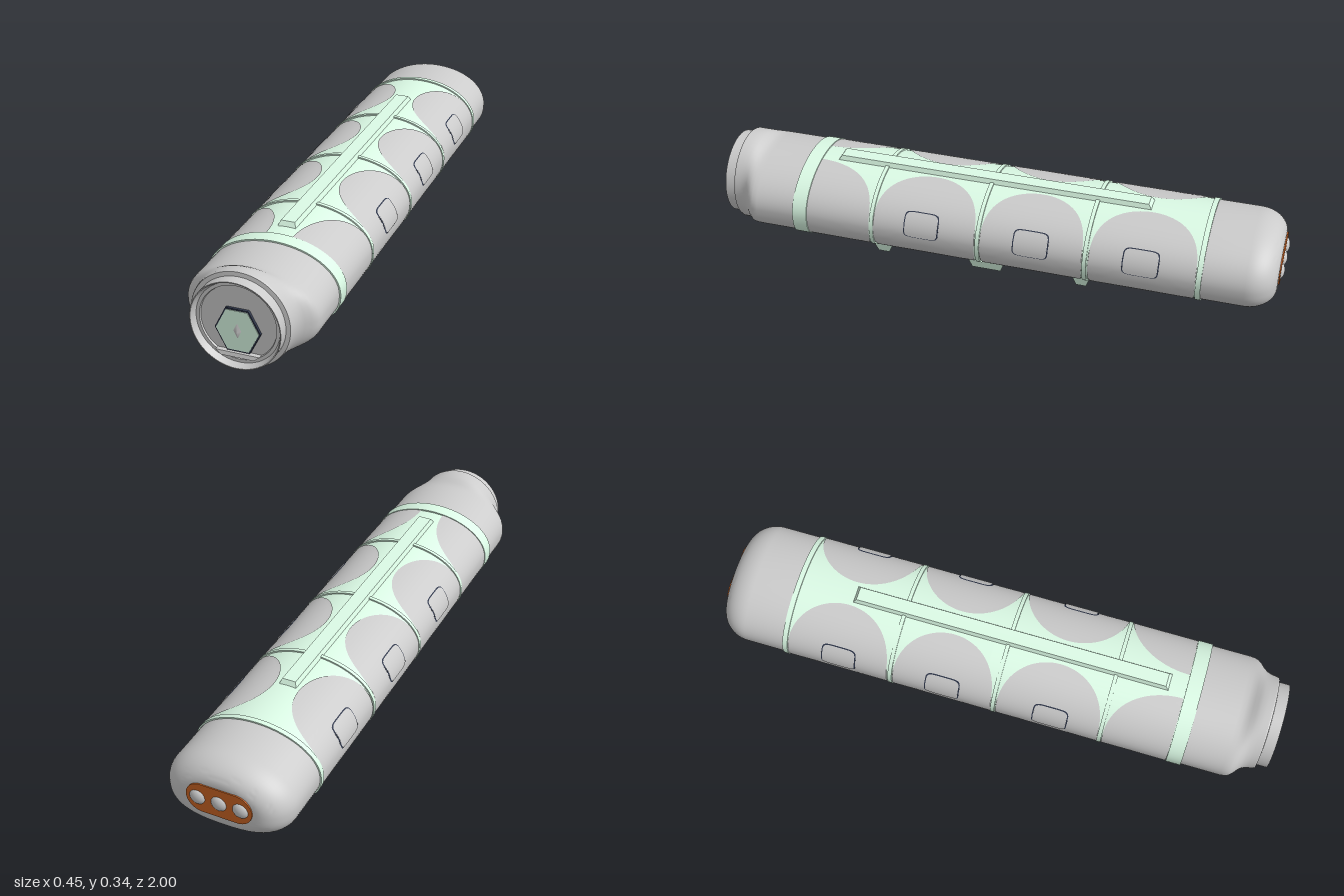
import * as THREE from 'three';
import { toCreasedNormals } from 'three/addons/utils/BufferGeometryUtils.js';

const mat = (color) => new THREE.MeshStandardMaterial({ color, side: THREE.DoubleSide });
const HALF_W = 0.22, MID_Y = 0.168, TOP = 0.142, BOTTOM = 0.118;

// Point on the oval cross-section: rounder above, flatter below
function section(t, z, offset = 0, sx = 1, sy = 1) {
  const c = Math.cos(t), s = Math.sin(t);
  const n = 2.6;
  const y = s >= 0
    ? (TOP + offset) * s
    : -(BOTTOM + offset) * Math.pow(Math.max(0, 1 - Math.pow(Math.abs(c), n)), 1 / n);
  return new THREE.Vector3((HALF_W + offset) * c * sx, MID_Y + y * sy, z);
}

// Surface sampled from fn(u, v), u running along +z and v around the body
function grid(fn, nu, nv) {
  const pos = [], index = [];
  for (let i = 0; i <= nu; i++)
    for (let j = 0; j <= nv; j++) pos.push(...fn(i / nu, j / nv).toArray());
  for (let i = 0; i < nu; i++)
    for (let j = 0; j < nv; j++) {
      const a = i * (nv + 1) + j, c = a + nv + 1;
      index.push(a, a + 1, c, a + 1, c + 1, c);
    }
  const g = new THREE.BufferGeometry();
  g.setAttribute('position', new THREE.Float32BufferAttribute(pos, 3));
  g.setIndex(index);
  g.computeVertexNormals();
  return g;
}

// Box narrowed towards one end: b = half sizes at y0, t = half sizes at y1
function frustum(y0, y1, [bx, bz], [tx, tz], shift = 0) {
  const g = new THREE.BoxGeometry(2, 1, 2);
  const p = g.attributes.position;
  for (let i = 0; i < p.count; i++) {
    const up = p.getY(i) > 0;
    p.setXYZ(i, p.getX(i) * (up ? tx : bx), up ? y1 : y0, p.getZ(i) * (up ? tz : bz) + (up ? 0 : shift));
  }
  const flat = g.toNonIndexed();
  flat.computeVertexNormals();
  return flat;
}

export function createModel() {
  const model = new THREE.Group();
  const grey = mat(0xcccccc), green = mat(0xdcfbe6), navy = mat(0x30384c), orange = mat(0xcf6624);
  const add = (name, geo, m, x = 0, y = 0, z = 0) => {
    const mesh = new THREE.Mesh(geo, m);
    mesh.name = name;
    mesh.position.set(x, y, z);
    model.add(mesh);
    return mesh;
  };
  const around = (v) => -Math.PI / 2 + v * Math.PI * 2;

  // Core tube and raised bands
  add('core', grid((u, v) => section(around(v), -0.74 + 1.45 * u), 2, 72), green);
  for (const [z, w] of [[0.685, 0.052], [0.417, 0.014], [0.032, 0.014], [-0.345, 0.014], [-0.733, 0.018]]) {
    const rows = [[-0.5, 0], [-0.5, 0.005], [0.5, 0.005], [0.5, 0]];
    add('band', toCreasedNormals(grid((u, v) => {
      const [k, o] = rows[Math.round(u * 3)];
      return section(around(v), z + k * w, o);
    }, 3, 72), 0.6), green);
  }

  // Rounded rear cap
  const R = 14;
  add('rearCap', toCreasedNormals(grid((u, v) => {
    const i = Math.round(u * (R + 2));
    if (i === 0) return new THREE.Vector3(0, 0.175, -0.985);
    const a = Math.min(1, (i - 1) / R) * Math.PI / 2;
    const z = i === R + 2 ? -0.74 : -0.885 - 0.1 * Math.cos(a);
    const k = 1 - Math.sin(a);
    return section(around(v), z, 0, 1 - 0.42 * k, 1 - 0.5 * k);
  }, R + 2, 72), 0.6), grey);

  // Front shoulder blending from the oval into a round collar
  const neck = [[0.71, 0], [0.85, 0], [0.868, 0.04], [0.88, 0.13], [0.892, 0.33], [0.905, 0.62],
    [0.918, 0.82], [0.935, 0.94], [0.955, 1]];
  add('frontShoulder', grid((u, v) => {
    const [z, w] = neck[Math.round(u * (neck.length - 1))];
    const t = around(v);
    const circle = new THREE.Vector3(0.165 * Math.cos(t), 0.173 + 0.165 * Math.sin(t), z);
    return section(t, z).lerp(circle, w);
  }, neck.length - 1, 72), grey);

  // Round rim with a recessed face
  const rim = [[0.165, 0.953], [0.163, 0.96], [0.149, 0.962], [0.149, 1], [0.146, 1], [0.137, 0.978],
    [0.126, 0.978], [0.124, 0.972], [0, 0.972]].map(([r, z]) => new THREE.Vector2(r, z));
  add('frontRim', toCreasedNormals(new THREE.LatheGeometry(rim, 64).rotateX(Math.PI / 2), 0.4), grey, 0, 0.173, 0);

  // Hexagonal window, its frame, centre stud and the ledge below
  const hex = (r, depth) => new THREE.CylinderGeometry(r, r, depth, 6).toNonIndexed()
    .rotateX(Math.PI / 2).rotateZ(Math.PI / 2).scale(1, 1.13, 1);
  add('windowFrame', hex(0.075, 0.012), navy, 0, 0.148, 0.975);
  add('window', hex(0.07, 0.012), green, 0, 0.148, 0.977);
  const stud = new THREE.ConeGeometry(0.013, 0.006, 4).rotateX(Math.PI / 2).scale(1, 2, 1);
  add('windowStud', stud, grey, 0, 0.148, 0.986);
  const ledge = frustum(0.06, 0.073, [0.055, 0.012], [0.072, 0.008]);
  add('ledge', ledge, grey, 0, 0, 0.98);

  // Scalloped grip pads: [arch centre, half length, start, end] along z
  const pads = [[0.655, 0.23, 0.426, 0.658], [0.226, 0.184, 0.042, 0.41],
    [-0.156, 0.18, -0.336, 0.024], [-0.54, 0.183, -0.723, -0.357]];
  for (const s of [1, -1]) {
    for (const [c, h, z0, z1] of pads) {
      const pad = grid((u, v) => {
        // samples bunch up towards the rounded ends
        const z = z0 + (z1 - z0) * (0.5 - 0.5 * Math.cos(u * Math.PI));
        const q = Math.min(1, Math.abs(z - c) / h);
        const arch = Math.sqrt(1 - q * q);
        const upper = Math.acos(1 - 0.8 * arch);
        const lower = -Math.acos(0.5 + 0.5 * Math.pow(q, 8));
        const p = section(lower + (upper - lower) * (s > 0 ? v : 1 - v), z, 0.003);
        p.x *= s;
        return p;
      }, 40, 24);
      add('gripPad', pad, grey);
    }

    // Rounded side buttons with a dark outline
    for (const z of [0.235, -0.155, -0.535]) {
      for (const [name, hz, ht, o, m] of [['buttonOutline', 0.063, 0.305, 0.0042, navy], ['button', 0.059, 0.285, 0.006, grey]]) {
        const patch = grid((u, v) => {
          const k = -Math.cos(u * Math.PI);
          const e = Math.pow(Math.max(0, 1 - Math.pow(Math.abs(k), 6)), 1 / 6);
          const p = section(0.31 + ht * e * (2 * v - 1) * s, z + k * hz, o);
          p.x *= s;
          return p;
        }, 20, 8);
        add(name, patch, m);
      }
    }
  }

  // Spine along the top
  add('spine', frustum(0.295, 0.325, [0.036, 0.575], [0.024, 0.555]), green, 0, 0, 0.035);

  // Feet: single ones at the ends, pairs between
  for (const [z, top, low, shift] of [[0.66, 0.058, 0.02, 0.018], [-0.69, 0.042, 0.016, -0.015]])
    add('endFoot', frustum(0, 0.06, [0.02, low], [0.045, top], shift), green, 0, 0, z);
  for (const [z, top, low] of [[0.415, 0.047, 0.02], [0.03, 0.075, 0.052], [-0.315, 0.04, 0.018]])
    for (const s of [1, -1])
      add('sideFoot', frustum(0, 0.062, [0.008, low], [0.018, top]), green, s * 0.106, 0, z);

  // Rear plate with three domes
  const plate = new THREE.Shape();
  plate.absarc(0.06, 0, 0.055, -Math.PI / 2, Math.PI / 2);
  plate.absarc(-0.06, 0, 0.055, Math.PI / 2, Math.PI * 1.5);
  plate.closePath();
  const plateGeo = new THREE.ExtrudeGeometry(plate, { depth: 0.006, bevelEnabled: false, curveSegments: 20 });
  add('rearPlate', plateGeo, orange, 0, 0.178, -0.989);
  for (const x of [-0.075, 0, 0.075])
    add('rearDome', new THREE.SphereGeometry(0.029, 24, 16).scale(1, 1, 0.6), grey, x, 0.178, -0.983);

  return model;
}
